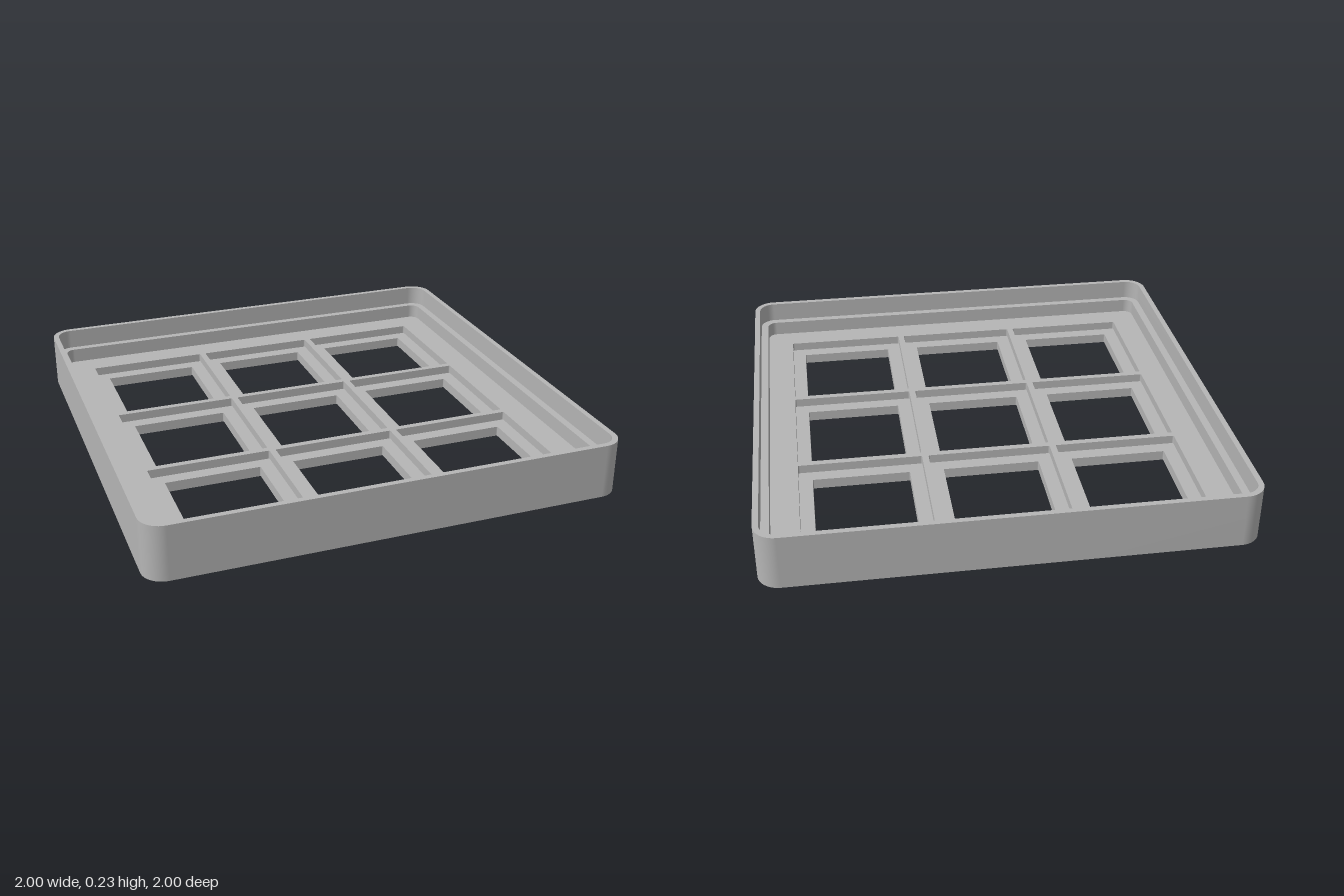
import * as THREE from 'three';

const HEIGHT = 0.235, LEDGE = 0.147, FLOOR = 0.082, PLATE = 0.044;
const PITCH = 0.56, POCKET = 0.266, WINDOW = 0.207;

// Outline of a rounded square with half size h and corner radius r
function outline(h, r, cx = 0, cy = 0) {
  const points = [], steps = 10;
  for (let corner = 0; corner < 4; corner++) {
    const sx = corner === 0 || corner === 3 ? 1 : -1;
    const sy = corner < 2 ? 1 : -1;
    for (let i = 0; i <= steps; i++) {
      const a = (corner + i / steps) * Math.PI / 2;
      points.push(new THREE.Vector2(
        cx + sx * (h - r) + r * Math.cos(a),
        cy + sy * (h - r) + r * Math.sin(a)));
    }
  }
  return points;
}

// Closed band between two outlines at two heights
function band(from, y0, to, y1) {
  const n = from.length, position = [], index = [];
  for (let i = 0; i < n; i++) {
    position.push(from[i].x, y0, from[i].y, to[i].x, y1, to[i].y);
    const a = 2 * i, c = 2 * ((i + 1) % n);
    index.push(a, a + 1, c, c, a + 1, c + 1);
  }
  const geometry = new THREE.BufferGeometry();
  geometry.setAttribute('position', new THREE.Float32BufferAttribute(position, 3));
  geometry.setIndex(index);
  geometry.computeVertexNormals();
  return geometry;
}

// Horizontal face with holes, facing up (1) or down (-1)
function face(border, holes, y, facing) {
  const shape = new THREE.Shape(border);
  for (const hole of holes) shape.holes.push(new THREE.Path(hole));
  return new THREE.ShapeGeometry(shape)
    .rotateX(-facing * Math.PI / 2)
    .translate(0, y, 0);
}

export function createModel() {
  const model = new THREE.Group();
  model.name = 'gridFrame';
  const grey = new THREE.MeshStandardMaterial({ color: 0xb5b5b5 });
  grey.name = 'grey';

  const add = (name, geometry, parent = model) => {
    const mesh = new THREE.Mesh(geometry, grey);
    mesh.name = name;
    parent.add(mesh);
  };

  const outer = outline(1, 0.09);
  const rim = outline(0.976, 0.066);
  const step = outline(0.943, 0.04);

  // Casing walls with the stepped inner rim
  add('outerWall', band(outer, 0, outer, HEIGHT));
  add('rimTop', band(outer, HEIGHT, rim, HEIGHT));
  add('rimInnerWall', band(rim, HEIGHT, rim, LEDGE));
  add('ledge', band(rim, LEDGE, step, LEDGE));
  add('stepWall', band(step, LEDGE, step, FLOOR));

  // Nine square pockets, each with a smaller window through the base
  const pockets = [], windows = [];
  for (const x of [-PITCH, 0, PITCH]) {
    for (const z of [-PITCH, 0, PITCH]) {
      const pocket = outline(POCKET, 0.006, x, z);
      const window = outline(WINDOW, 0.004, x, z);
      pockets.push(pocket);
      windows.push(window);
      const cell = new THREE.Group();
      cell.name = 'cell';
      model.add(cell);
      add('pocketWall', band(pocket, FLOOR, pocket, PLATE), cell);
      add('pocketLip', band(pocket, PLATE, window, PLATE), cell);
      add('windowWall', band(window, PLATE, window, 0), cell);
    }
  }

  // Inner floor with dividers, and the underside
  add('floor', face(step, pockets, FLOOR, 1));
  add('underside', face(outer, windows, 0, -1));
  return model;
}
